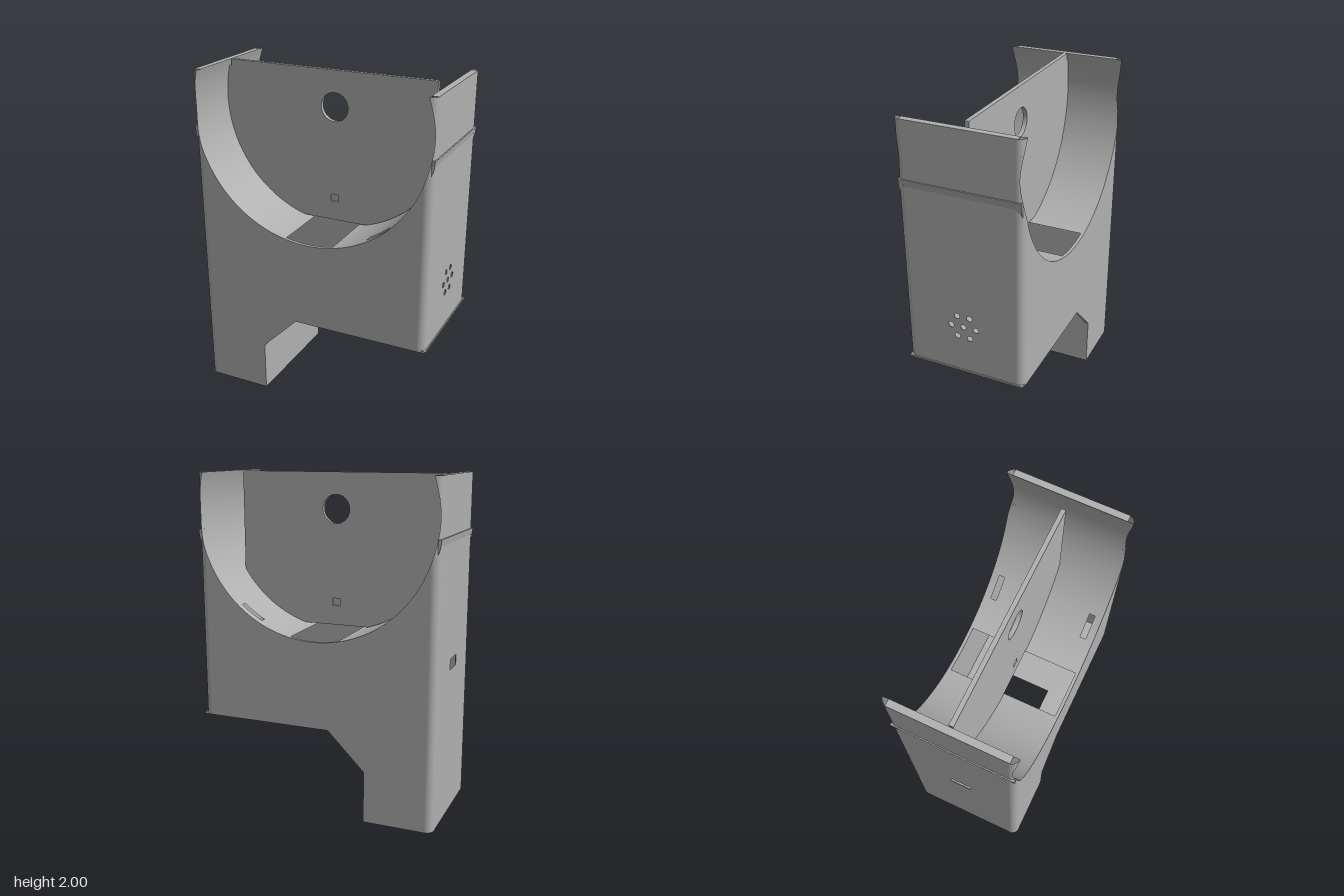
import * as THREE from 'three';

const R = 0.725, YC = 1.78, W = 0.73, D = 0.365, CR = 0.045, FLOOR = 0.535;
const XI = W - CR, ZI = D - CR;

const gray = new THREE.MeshStandardMaterial({ color: 0xb0b0b0, side: THREE.DoubleSide });
gray.name = 'gray plastic';

function poly(points) {
  return new THREE.Shape(points.map(p => new THREE.Vector2(p[0], p[1])));
}
function rectPath(x0, x1, y0, y1) {
  return poly([[x0, y0], [x1, y0], [x1, y1], [x0, y1]]);
}
function circlePath(x, y, r) {
  return new THREE.Path().absarc(x, y, r, 0, Math.PI * 2, false);
}
function extrude(shape, depth) {
  return new THREE.ExtrudeGeometry(shape, { depth, bevelEnabled: false, curveSegments: 48 });
}
// strip between two edges; edge(t) returns a pair of points
function ribbon(edge, n) {
  const pos = [], idx = [];
  for (let i = 0; i <= n; i++) {
    const [a, b] = edge(i / n);
    pos.push(...a, ...b);
    if (i < n) idx.push(2 * i, 2 * i + 1, 2 * i + 2, 2 * i + 1, 2 * i + 3, 2 * i + 2);
  }
  const g = new THREE.BufferGeometry();
  g.setAttribute('position', new THREE.Float32BufferAttribute(pos, 3));
  g.setIndex(idx);
  g.computeVertexNormals();
  return g;
}
// half depth of the rounded body at a given x
function halfDepth(x) {
  const d = Math.max(0, Math.abs(x) - XI);
  return ZI + Math.sqrt(Math.max(0, CR * CR - d * d));
}

export function createModel() {
  const model = new THREE.Group();
  const add = (name, geo, x = 0, y = 0, z = 0) => {
    const m = new THREE.Mesh(geo, gray);
    m.name = name;
    m.position.set(x, y, z);
    model.add(m);
    return m;
  };

  // front and back panels with the round cradle cut and the sloped gusset
  const a = Math.acos(XI / R);
  const panel = poly([[-XI, 0], [-0.315, 0], [-0.315, 0.31], [-0.09, FLOOR], [XI, FLOOR]]);
  panel.lineTo(XI, YC - R * Math.sin(a));
  panel.absarc(0, YC, R, -a, -Math.PI + a, true);
  panel.closePath();
  const panelGeo = extrude(panel, 0.02);
  add('frontPanel', panelGeo, 0, 0, D - 0.02);
  add('backPanel', panelGeo, 0, 0, -D);

  // side walls: speaker holes on the left, port on the right
  const leftWall = rectPath(-ZI, ZI, FLOOR, 2);
  leftWall.holes.push(circlePath(0, 0.835, 0.017));
  for (let i = 0; i < 6; i++) {
    const t = i * Math.PI / 3;
    leftWall.holes.push(circlePath(0.076 * Math.cos(t), 0.835 + 0.076 * Math.sin(t), 0.017));
  }
  const rightWall = rectPath(-ZI, ZI, 0, 2);
  rightWall.holes.push(rectPath(-0.065, 0.065, 0.89, 0.955));
  add('leftWall', extrude(leftWall, 0.005).rotateY(-Math.PI / 2), W);
  add('rightWall', extrude(rightWall, 0.005).rotateY(-Math.PI / 2), -W + 0.005);

  // rounded vertical corners, trimmed by the cradle circle
  for (const sx of [-1, 1]) {
    for (const sz of [-1, 1]) {
      const bottom = sx < 0 ? 0 : FLOOR;
      const at = t => {
        const x = XI + CR * Math.sin(t * Math.PI / 2);
        const h = Math.sqrt(Math.max(0, R * R - x * x));
        return { x: sx * x, z: sz * (ZI + CR * Math.cos(t * Math.PI / 2)), h };
      };
      add('cornerLower', ribbon(t => {
        const p = at(t);
        return [[p.x, bottom, p.z], [p.x, YC - p.h, p.z]];
      }, 24));
      add('cornerUpper', ribbon(t => {
        const p = at(t);
        return [[p.x, Math.min(2, YC + p.h), p.z], [p.x, 2, p.z]];
      }, 24));

      // fin that fills the corner under the ledge
      const fin = poly([[sx * 0.716, 1.67], [sx * 0.736, 1.67], [sx * 0.73, 1.62], [sx * 0.703, 1.55]]);
      add('ledgeFin', extrude(fin, 0.03), 0, 0, sz > 0 ? 0.322 : -0.352);
    }
    // ledge across the wall and cap on its top edge
    const ledge = poly([[sx * 0.726, 1.67], [sx * 0.737, 1.67], [sx * 0.73, 1.63], [sx * 0.726, 1.63]]);
    add('ledge', extrude(ledge, 0.7), 0, 0, -0.35);
    add('wallTopCap', new THREE.BoxGeometry(0.04, 0.004, 2 * ZI + 0.02), sx * 0.71, 1.998, 0);
  }

  // cradle surface, built in patches around its window and slots
  const end = Math.asin((2 - YC) / R);
  const angle = x => -Math.acos(x / R);
  const patch = (a0, a1, z0, z1, n) => add('cradle', ribbon(t => {
    const b = a0 + (a1 - a0) * t;
    const x = R * Math.cos(b), y = YC + R * Math.sin(b), d = halfDepth(x);
    return [[x, y, Math.max(z0, -d)], [x, y, Math.min(z1, d)]];
  }, n));
  patch(-Math.PI - end, angle(-0.15), -D, D, 64);
  patch(angle(-0.15), angle(0.15), 0.355, D, 16);
  patch(angle(-0.15), angle(0.15), -D, -0.355, 16);
  patch(angle(0.15), angle(0.35), -D, D, 12);
  for (const [z0, z1] of [[-D, -0.318], [-0.282, 0.282], [0.318, D]]) {
    patch(angle(0.35), angle(0.475), z0, z1, 8);
  }
  patch(angle(0.475), end, -D, D, 48);

  // upright divider in the middle of the cradle
  const r = R - 0.003, low = 1.087, right = 0.615;
  const aLow = Math.asin((low - YC) / r), aRight = -Math.acos(right / r);
  const aNotch = Math.asin((1.96 - YC) / r);
  const divider = new THREE.Shape();
  divider.moveTo(-0.685, 2);
  divider.lineTo(-0.685, 1.96);
  divider.absarc(0, YC, r, -Math.PI - aNotch + 2 * Math.PI, Math.PI - aLow, false);
  divider.absarc(0, YC, r, aLow, aRight, false);
  divider.lineTo(right, 2);
  divider.closePath();
  divider.holes.push(circlePath(0, 1.785, 0.085), rectPath(-0.025, 0.025, 1.205, 1.25));
  add('divider', extrude(divider, 0.026), 0, 0, -0.013);
  add('dividerPocket', new THREE.BoxGeometry(0.05, 0.045, 0.006), 0, 1.2275, 0);

  // floor plate with its square opening
  const floor = rectPath(-0.315, 0.735, -0.36, 0.36);
  floor.holes.push(rectPath(-0.15, 0.15, -0.185, 0.185));
  add('floor', extrude(floor, 0.012).rotateX(Math.PI / 2), 0, FLOOR + 0.01, 0);

  // leg: inner wall and rounded bottom
  add('legInnerWall', new THREE.BoxGeometry(0.015, FLOOR, 2 * D - 0.002), -0.3225, FLOOR / 2, 0);
  const foot = new THREE.Shape();
  foot.moveTo(-0.315, -D);
  foot.lineTo(-0.315, D);
  foot.lineTo(-XI, D);
  foot.absarc(-XI, ZI, CR, Math.PI / 2, Math.PI, false);
  foot.absarc(-XI, -ZI, CR, Math.PI, Math.PI * 1.5, false);
  foot.closePath();
  add('legBottom', extrude(foot, 0.015).rotateX(Math.PI / 2), 0, 0.015, 0);

  // sloped chute between the floor and the leg
  const chute = poly([[-0.315, 0.45], [-0.25, 0.45], [-0.19, FLOOR], [-0.315, FLOOR]]);
  add('chute', extrude(chute, 0.47), 0, 0, -0.235);

  return model;
}
